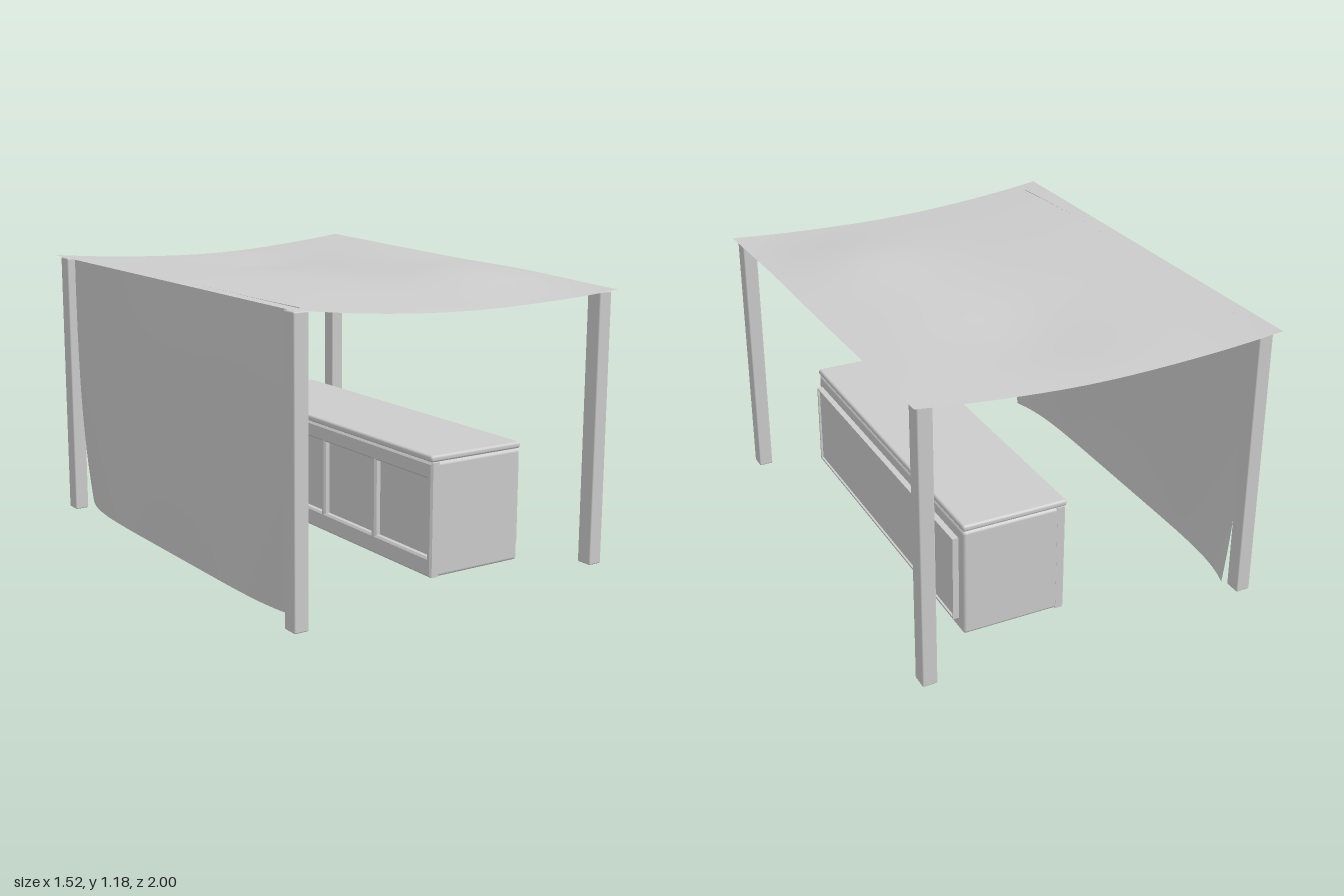
import * as THREE from 'three';
import { RoundedBoxGeometry } from 'three/addons/geometries/RoundedBoxGeometry.js';

const grey = new THREE.MeshStandardMaterial({ color: 0xcccccc });
const cloth = new THREE.MeshStandardMaterial({ color: 0xcccccc, side: THREE.DoubleSide });

// Height of the sagging canopy over (x, z)
function roofHeight(x, z) {
  const u = x / 0.76, v = z;
  const right = THREE.MathUtils.lerp(1.182, 1.125, (v + 1) / 2);
  const line = THREE.MathUtils.lerp(1.168, right, (u + 1) / 2);
  const bump = (cu, cv) => Math.exp(-(((u - cu) / 0.4) ** 2) - ((v - cv) / 0.35) ** 2);
  return line - 0.045 * (1 - u * u) * (0.3 + 0.7 * v * v) + 0.036 * bump(0.5, 0.45) - 0.032 * bump(0.1, -0.5);
}

// Grid sheet whose vertices come from a rule f(s, t) -> [x, y, z]
function sheet(name, ns, nt, f) {
  const geo = new THREE.PlaneGeometry(1, 1, ns, nt);
  const p = geo.attributes.position;
  for (let i = 0; i < p.count; i++) p.setXYZ(i, ...f(p.getX(i) + 0.5, 0.5 - p.getY(i)));
  geo.computeVertexNormals();
  const mesh = new THREE.Mesh(geo, cloth);
  mesh.name = name;
  return mesh;
}

// Box given by its minimum and maximum corners, optionally rounded
function block(name, a, b, radius = 0) {
  const s = a.map((v, i) => b[i] - v);
  const geo = radius ? new RoundedBoxGeometry(...s, 3, radius) : new THREE.BoxGeometry(...s);
  const mesh = new THREE.Mesh(geo, grey);
  mesh.name = name;
  mesh.position.set(...a.map((v, i) => (v + b[i]) / 2));
  return mesh;
}

function rectPath(path, x0, y0, x1, y1) {
  path.moveTo(x0, y0).lineTo(x1, y0).lineTo(x1, y1).lineTo(x0, y1).closePath();
  return path;
}

// Upright frame in the z-y plane with rectangular openings, from x0 to x1
function frame(name, x0, x1, outer, holes, bevel = 0) {
  const [a, b, c, d] = outer;
  const shape = rectPath(new THREE.Shape(), -c + bevel, b + bevel, -a - bevel, d - bevel);
  for (const [e, f, g, h] of holes) {
    shape.holes.push(rectPath(new THREE.Path(), -g - bevel, f - bevel, -e + bevel, h + bevel));
  }
  const geo = new THREE.ExtrudeGeometry(shape, {
    depth: x1 - x0 - 2 * bevel, bevelEnabled: bevel > 0, bevelSize: bevel, bevelThickness: bevel, bevelSegments: 1,
  });
  geo.translate(0, 0, bevel).rotateY(Math.PI / 2).translate(x0, 0, 0);
  const mesh = new THREE.Mesh(geo, grey);
  mesh.name = name;
  return mesh;
}

export function createModel() {
  const model = new THREE.Group();

  // Canopy
  model.add(sheet('canopy', 32, 40, (s, t) => {
    const x = -0.76 + 1.52 * s, z = -1 + 2 * t;
    return [x, roofHeight(x, z), z];
  }));

  // Four corner posts
  for (const x of [-0.705, 0.71]) {
    for (const z of [-0.94, 0.95]) {
      const top = roofHeight(x, z) - 0.004;
      model.add(block('post', [x - 0.031, 0, z - 0.035], [x + 0.031, top, z + 0.035], 0.006));
    }
  }

  // Hanging side cloth, pulled inward at its lower corners and front edge
  model.add(sheet('sideCloth', 30, 24, (s, t) => {
    const z = -0.905 + 1.83 * s;
    const y = THREE.MathUtils.lerp(roofHeight(-0.7, z), 0.02, t);
    const edge = Math.abs(2 * s - 1) ** 6;
    const x = -0.7 + 0.055 * edge * t ** 3 + 0.025 * s ** 6 * (1 - t) ** 3
      - 0.012 * Math.sin(Math.PI * s) * Math.sin(Math.PI * t);
    return [x, y, z];
  }));

  // Counter: body, lid, recessed doors and display panel
  const counter = new THREE.Group();
  counter.name = 'counter';
  const z0 = -0.755, z1 = 0.785;
  counter.add(block('counterBody', [0.045, 0.01, z0], [0.465, 0.478, z1], 0.014));
  counter.add(block('counterTop', [0.015, 0.48, z0 - 0.003], [0.467, 0.507, z1 + 0.003], 0.011));

  // Door frame with four openings on the serving side
  const openings = [];
  const pitch = (z1 - z0 - 0.03) / 4;
  for (let i = 0; i < 4; i++) {
    const a = z0 + 0.03 + i * pitch;
    openings.push([a, 0.09, a + pitch - 0.03, 0.41]);
  }
  counter.add(frame('doorFrame', 0.019, 0.065, [z0, 0.01, z1, 0.478], openings, 0.008));

  // Large panel with a thin raised rim on the outer side
  counter.add(block('outerPanel', [0.455, 0.068, -0.708], [0.482, 0.428, 0.745]));
  counter.add(frame('panelRim', 0.46, 0.491, [-0.712, 0.064, 0.749, 0.432], [[-0.704, 0.072, 0.741, 0.424]]));
  model.add(counter);

  return model;
}
